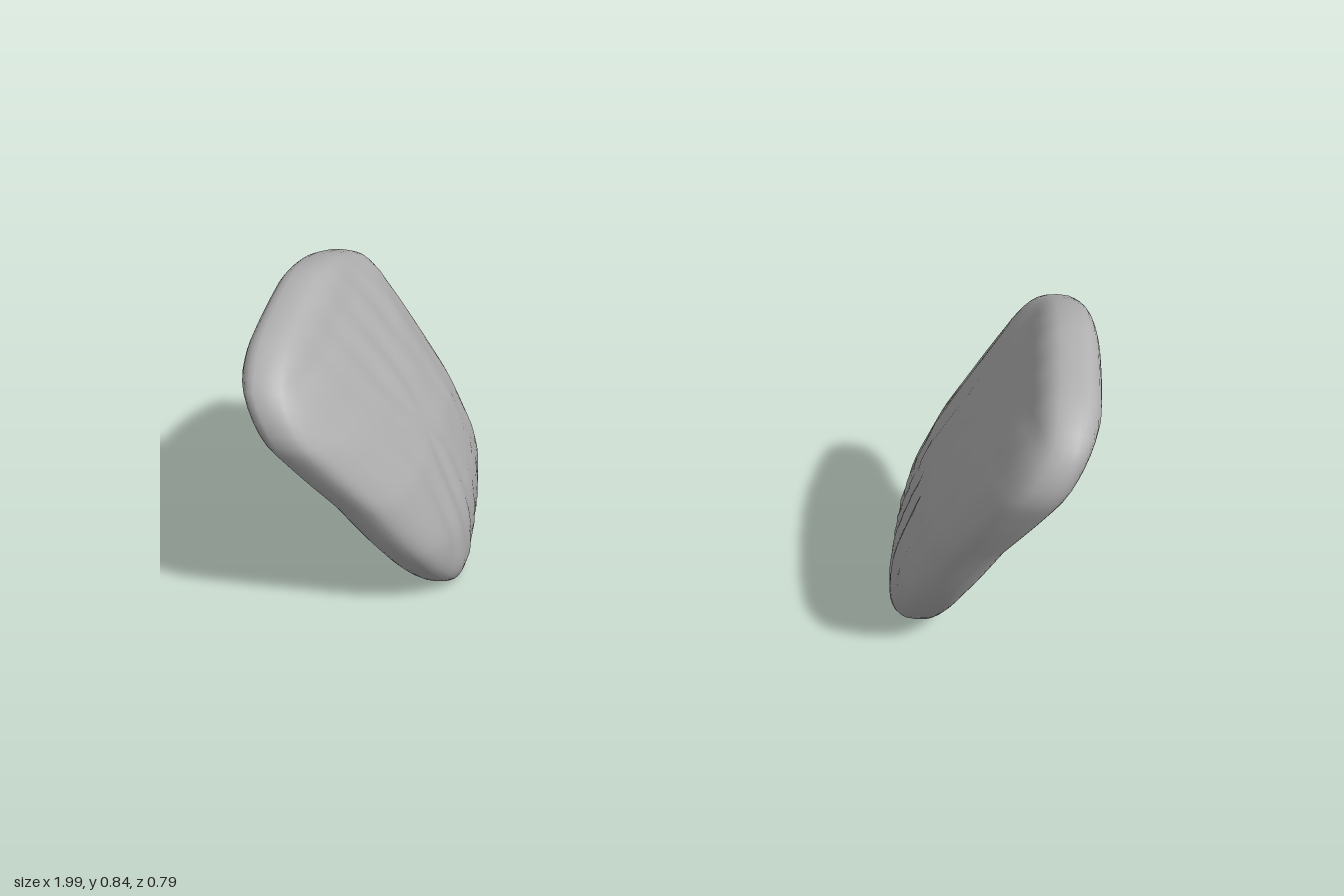
import * as THREE from 'three';

const stone = new THREE.MeshStandardMaterial({ color: 0xb2b2b2 });
stone.name = 'plain grey';

// side outline of one slab as [z, y]
const outline = new THREE.CatmullRomCurve3([
  [0.01, 0.003], [0.05, 0.016], [0.1, 0.06], [0.2, 0.19], [0.3, 0.4], [0.37, 0.56],
  [0.398, 0.65], [0.38, 0.73], [0.34, 0.78], [0.25, 0.825], [0.15, 0.838], [0, 0.843],
  [-0.08, 0.84], [-0.2, 0.812], [-0.3, 0.77], [-0.37, 0.73], [-0.39, 0.66], [-0.396, 0.52],
  [-0.394, 0.3], [-0.388, 0.2], [-0.36, 0.165], [-0.29, 0.1], [-0.2, 0.055], [-0.1, 0.025],
].map(([z, y]) => new THREE.Vector3(0, y, z)), true, 'centripetal');

// x of the slab's middle surface at rising heights: it leans outward
const lean = [[0, 0.605], [0.06, 0.615], [0.2, 0.65], [0.4, 0.725], [0.65, 0.855], [0.76, 0.903], [0.85, 0.915]];
function middleX(y) {
  let k = 0;
  while (k < lean.length - 2 && y > lean[k + 1][0]) k++;
  const [y0, x0] = lean[k], [y1, x1] = lean[k + 1];
  return x0 + (x1 - x0) * (y - y0) / (y1 - y0);
}

// closed slab built from shrinking outline rings, outer face to inner face
function slabGeometry(side) {
  const rings = 28, around = 80, cy = 0.45, cz = -0.03;
  const edge = outline.getSpacedPoints(around);
  const positions = [], index = [];
  for (let i = 0; i <= rings; i++) {
    const phi = Math.PI * i / rings;
    const outer = i <= rings / 2;
    const power = 2 / (outer ? 3 : 2.7);
    const s = Math.pow(Math.max(0, Math.sin(phi)), power);
    const h = Math.sign(Math.cos(phi)) * Math.pow(Math.abs(Math.cos(phi)), power);
    for (let j = 0; j < around; j++) {
      const y = cy + (edge[j].y - cy) * s;
      const z = cz + (edge[j].z - cz) * s;
      // shallow grooves fanning up the inner face
      const fan = z / (0.55 + y * 0.6);
      const groove = outer ? 0 : 0.004 * Math.sin(fan * 52 + 2 * Math.sin(y * 5)) * h * h * Math.min(1, s * 3);
      positions.push(side * (middleX(y) + 0.113 * h + groove), y, z);
    }
  }
  for (let i = 0; i < rings; i++) {
    for (let j = 0; j < around; j++) {
      const n = (j + 1) % around;
      const a = i * around + j, b = a + around, c = (i + 1) * around + n, d = i * around + n;
      if (side > 0) index.push(a, c, b, a, d, c);
      else index.push(a, b, c, a, c, d);
    }
  }
  const geometry = new THREE.BufferGeometry();
  geometry.setAttribute('position', new THREE.Float32BufferAttribute(positions, 3));
  geometry.setIndex(index);
  geometry.computeVertexNormals();
  // the points that meet at each face centre share one normal
  const normal = geometry.attributes.normal;
  for (const [ring, next] of [[0, 1], [rings, rings - 1]]) {
    const sum = new THREE.Vector3(), v = new THREE.Vector3();
    for (let j = 0; j < around; j++) sum.add(v.fromBufferAttribute(normal, next * around + j));
    sum.normalize();
    for (let j = 0; j < around; j++) normal.setXYZ(ring * around + j, sum.x, sum.y, sum.z);
  }
  return geometry;
}

export function createModel() {
  const model = new THREE.Group();
  model.name = 'pairOfSlabs';
  for (const [name, side] of [['leftSlab', 1], ['rightSlab', -1]]) {
    const slab = new THREE.Mesh(slabGeometry(side), stone);
    slab.name = name;
    model.add(slab);
  }
  return model;
}
